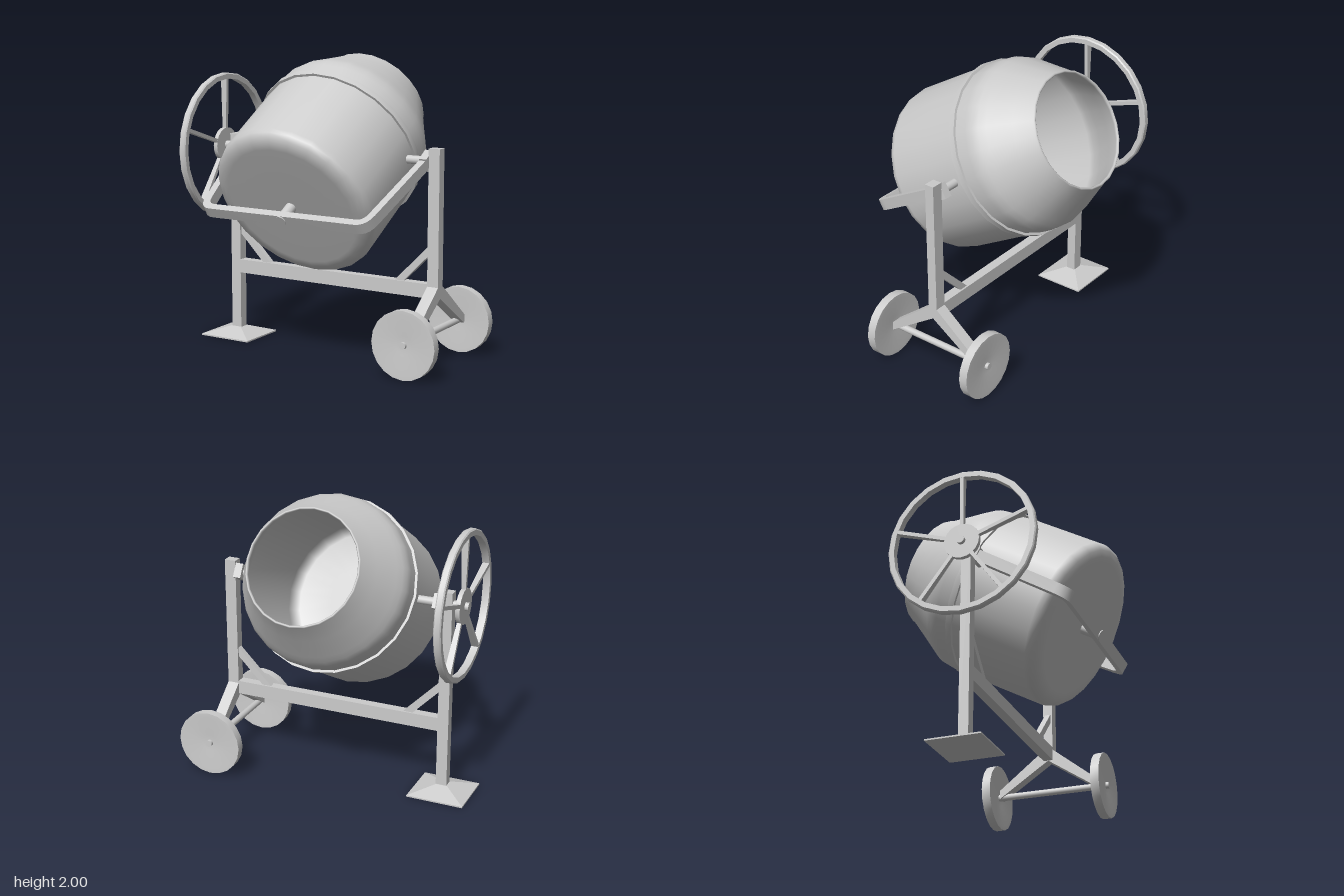
import * as THREE from 'three';
import { toCreasedNormals } from 'three/addons/utils/BufferGeometryUtils.js';

const material = new THREE.MeshStandardMaterial({ color: 0xcccccc });

function add(parent, name, geometry, x = 0, y = 0, z = 0) {
  const mesh = new THREE.Mesh(geometry, material);
  mesh.name = name;
  mesh.position.set(x, y, z);
  parent.add(mesh);
  return mesh;
}

const points = (list) => list.map(([x, y]) => new THREE.Vector2(x, y));
const box = (w, h, d) => new THREE.BoxGeometry(w, h, d);
const rod = (r, length) => new THREE.CylinderGeometry(r, r, length, 16);
const turned = (profile, sides) => new THREE.LatheGeometry(points(profile), sides);
const creased = (profile, sides) => toCreasedNormals(turned(profile, sides), 0.6);

// Flat plate of a given outline, centred on its thickness
function plate(shape, depth) {
  return new THREE.ExtrudeGeometry(shape, { depth, bevelEnabled: false, curveSegments: 5 })
    .translate(0, 0, -depth / 2);
}

// Tilting part: drum, yoke, brackets; local +y points out of the drum mouth
function createTilt() {
  const tilt = new THREE.Group();
  tilt.name = 'tiltingAssembly';
  tilt.position.y = 1.355;
  tilt.rotation.x = -Math.PI / 3;

  // Hollow drum: outside going up, over the lip, back down inside
  add(tilt, 'drum', turned([
    [0, -0.59], [0.25, -0.59], [0.46, -0.59], [0.5, -0.587], [0.54, -0.572], [0.565, -0.545], [0.572, -0.51],
    [0.575, -0.2], [0.577, 0.07], [0.578, 0.2], [0.572, 0.25], [0.555, 0.295], [0.53, 0.34],
    [0.45, 0.49], [0.39, 0.605], [0.388, 0.622], [0.38, 0.628], [0.372, 0.622],
    [0.372, 0.605], [0.435, 0.485], [0.512, 0.34], [0.55, 0.25], [0.558, 0.2],
    [0.555, -0.5], [0.5, -0.57], [0.25, -0.572], [0, -0.572],
  ], 24));
  add(tilt, 'drumBand', creased([
    [0.57, 0.065], [0.594, 0.065], [0.594, 0.11], [0.57, 0.11],
  ], 24));

  // U-shaped yoke under the drum
  const yoke = new THREE.Shape();
  yoke.moveTo(-0.742, 0);
  yoke.lineTo(-0.65, -0.62);
  yoke.quadraticCurveTo(-0.635, -0.728, -0.55, -0.728);
  yoke.lineTo(0.55, -0.728);
  yoke.quadraticCurveTo(0.635, -0.728, 0.65, -0.62);
  yoke.lineTo(0.742, 0);
  yoke.lineTo(0.695, 0);
  yoke.lineTo(0.6, -0.62);
  yoke.quadraticCurveTo(0.59, -0.678, 0.54, -0.678);
  yoke.lineTo(-0.54, -0.678);
  yoke.quadraticCurveTo(-0.59, -0.678, -0.6, -0.62);
  yoke.lineTo(-0.695, 0);
  add(tilt, 'yoke', toCreasedNormals(plate(yoke, 0.075), 0.6));
  add(tilt, 'drumPin', rod(0.037, 0.16), 0, -0.655, 0);

  for (const side of [-1, 1]) {
    add(tilt, 'pivotBracket', box(0.055, 0.1, 0.1), side * 0.717, 0, 0);
    add(tilt, 'pivotShaft', rod(0.028, 0.22).rotateZ(Math.PI / 2), side * 0.67, 0, 0);
  }
  return tilt;
}

// Large spoked hand wheel on the right side
function createHandWheel() {
  const wheel = new THREE.Group();
  wheel.name = 'handWheel';
  wheel.position.set(-0.883, 1.355, 0);
  wheel.rotation.z = Math.PI / 2;
  add(wheel, 'wheelRim', creased([
    [0.462, -0.025], [0.495, -0.025], [0.503, -0.017], [0.503, 0.017],
    [0.495, 0.025], [0.462, 0.025], [0.462, -0.025],
  ], 24));
  add(wheel, 'wheelHub', toCreasedNormals(new THREE.CylinderGeometry(0.12, 0.12, 0.03, 20), 0.6));
  add(wheel, 'wheelShaft', rod(0.028, 0.19), 0, -0.055, 0);
  const spoke = plate(new THREE.Shape(points([
    [-0.014, 0.09], [0.014, 0.09], [0.024, 0.475], [-0.024, 0.475],
  ])), 0.025).rotateZ(-Math.PI / 2);
  for (let i = 0; i < 5; i++) {
    add(wheel, 'wheelSpoke', spoke).rotation.y = (i * Math.PI * 2) / 5;
  }
  return wheel;
}

// Posts, cross beam, braces, foot plate and axle legs
function createFrame() {
  const frame = new THREE.Group();
  frame.name = 'frame';
  add(frame, 'footPost', box(0.076, 1.4, 0.066), -0.78, 0.74, 0);
  add(frame, 'axlePost', box(0.08, 0.985, 0.066), 0.782, 0.9475, 0);
  add(frame, 'crossBeam', box(1.5, 0.095, 0.066), 0, 0.5025, 0);

  const root2 = Math.SQRT2;
  const foot = new THREE.CylinderGeometry(0.04 * root2, 0.198 * root2, 0.05, 4)
    .rotateY(Math.PI / 4).scale(1, 1, 0.91);
  add(frame, 'footPlate', toCreasedNormals(foot, 0.1), -0.785, 0.035, 0);
  add(frame, 'footBase', box(0.396, 0.01, 0.36), -0.785, 0.005, 0);

  for (const s of [-1, 1]) {
    const brace = new THREE.Shape(points([
      [s * 0.743, 0.735], [s * 0.56, 0.55], [s * 0.495, 0.55], [s * 0.743, 0.8],
    ]));
    add(frame, 'cornerBrace', plate(brace, 0.04));
  }

  // Pair of legs spreading down to the axle
  const legs = new THREE.Shape(points([
    [-0.36, 0.215], [0, 0.455], [0.36, 0.215], [0.36, 0.275], [0, 0.56], [-0.36, 0.275],
  ]));
  add(frame, 'axleLegs', plate(legs, 0.08).rotateY(Math.PI / 2), 0.782, 0, 0);
  return frame;
}

// Axle with two dished road wheels
function createUndercarriage() {
  const carriage = new THREE.Group();
  carriage.name = 'undercarriage';
  carriage.position.set(0.776, 0.232, 0);
  carriage.rotation.x = Math.PI / 2;
  add(carriage, 'axle', rod(0.023, 0.86));
  const wheel = creased([
    [0, -0.016], [0.06, -0.018], [0.2, -0.03], [0.227, -0.03],
    [0.227, 0.03], [0.2, 0.03], [0.06, 0.018], [0, 0.016],
  ], 20);
  for (const side of [-1, 1]) add(carriage, 'roadWheel', wheel, 0, side * 0.392, 0);
  return carriage;
}

export function createModel() {
  const model = new THREE.Group();
  model.name = 'concreteMixer';
  const body = new THREE.Group();
  body.name = 'mixerBody';
  body.position.set(-0.015, 0, -0.01);
  body.add(createFrame(), createTilt(), createHandWheel(), createUndercarriage());
  model.add(body);
  return model;
}
